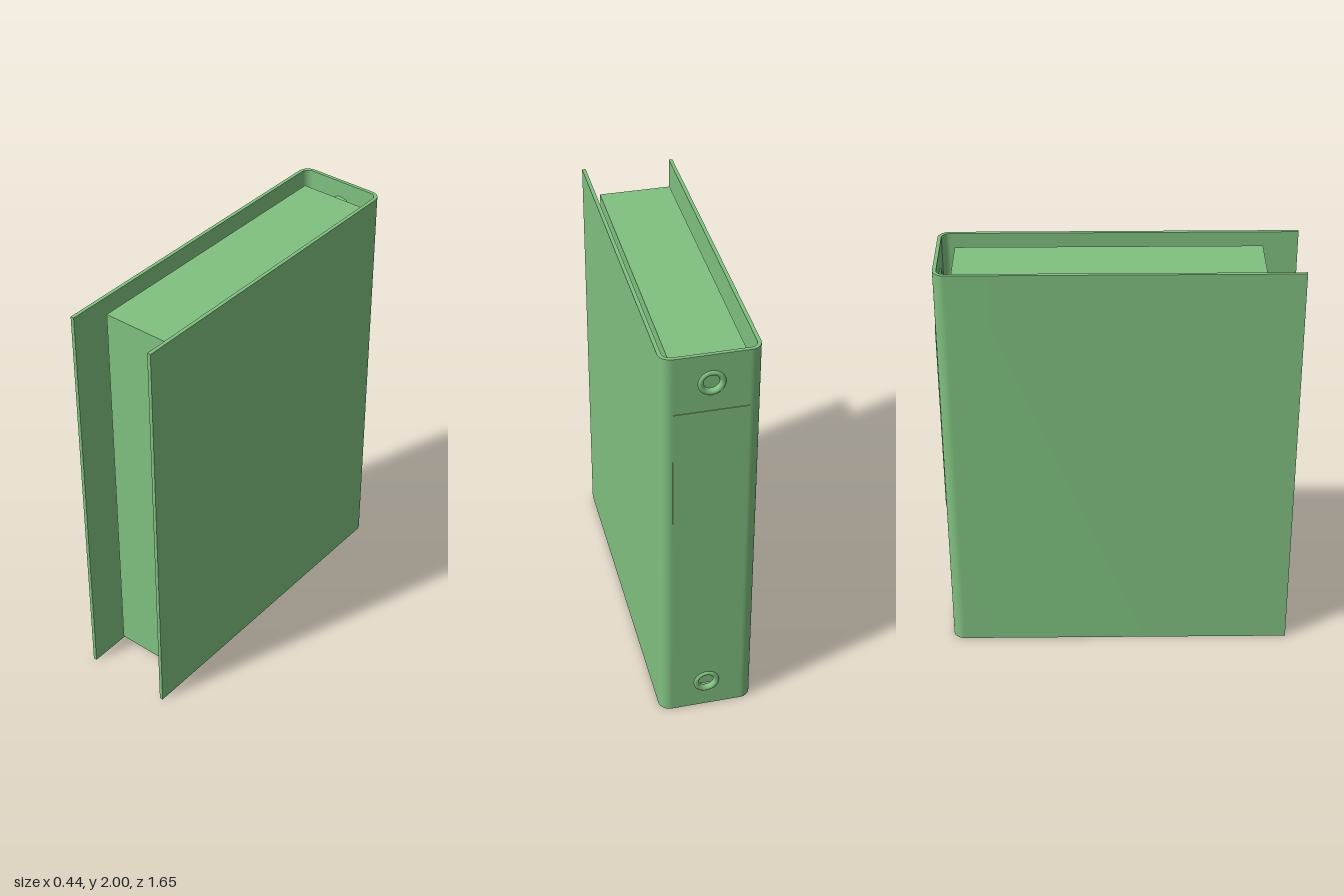
import * as THREE from 'three';
import { toCreasedNormals } from 'three/addons/utils/BufferGeometryUtils.js';

export function createModel() {
  const group = new THREE.Group();
  group.name = 'binder';
  const green = new THREE.MeshStandardMaterial({ color: 0x80c080 });
  const add = (name, geometry, x = 0, y = 0, z = 0) => {
    const mesh = new THREE.Mesh(geometry, green);
    mesh.name = name;
    mesh.position.set(x, y, z);
    group.add(mesh);
    return mesh;
  };

  const H = 2, W = 0.22, T = 0.017, R = 0.055;
  const back = -0.815, front = 0.823;
  const flat = W - R; // half width of the flat spine
  const rivetHeights = [0.145, 1.86];

  // Cover boards, each with its rounded corner into the spine
  for (const s of [1, -1]) {
    const p = new THREE.Shape();
    p.moveTo(s * W, -front);
    p.lineTo(s * W, -back - R);
    p.absarc(s * flat, -back - R, R, s > 0 ? 0 : Math.PI, Math.PI / 2, s < 0);
    p.lineTo(s * flat, -back - T);
    p.absarc(s * flat, -back - R, R - T, Math.PI / 2, s > 0 ? 0 : Math.PI, s > 0);
    p.lineTo(s * (W - T), -front);
    p.closePath();
    const g = new THREE.ExtrudeGeometry(p, { depth: H, bevelEnabled: false, curveSegments: 10 });
    g.rotateX(-Math.PI / 2);
    add(s > 0 ? 'leftCover' : 'rightCover', toCreasedNormals(g, 0.5));
  }

  // Spine plate with two round holes
  const spine = new THREE.Shape();
  spine.moveTo(-flat, 0);
  spine.lineTo(flat, 0);
  spine.lineTo(flat, H);
  spine.lineTo(-flat, H);
  spine.closePath();
  for (const y of rivetHeights) {
    spine.holes.push(new THREE.Path().absarc(0, y, 0.045, 0, Math.PI * 2, true));
  }
  const spineGeo = new THREE.ExtrudeGeometry(spine, { depth: T, bevelEnabled: false, curveSegments: 24 });
  add('spine', toCreasedNormals(spineGeo, 0.5), 0, 0, back);

  // Rounded eyelets lining the holes
  const profile = [];
  for (let i = 0; i <= 16; i++) {
    const a = (i / 16) * Math.PI * 2;
    profile.push(new THREE.Vector2(0.049 + 0.014 * Math.cos(a), 0.0165 * Math.sin(a)));
  }
  const eyelet = new THREE.LatheGeometry(profile, 32);
  eyelet.rotateX(Math.PI / 2);
  for (const y of rivetHeights) add('eyelet', eyelet, 0, y, back + T / 2);

  // Thin label on the outside of the spine
  add('spineLabel', new THREE.BoxGeometry(flat * 2, 0.96, 0.004), 0, 1.24, back - 0.001);

  // Paper block
  add('pages', new THREE.BoxGeometry(0.335, 1.89, 1.4), 0, 1.003, -0.04);

  return group;
}
